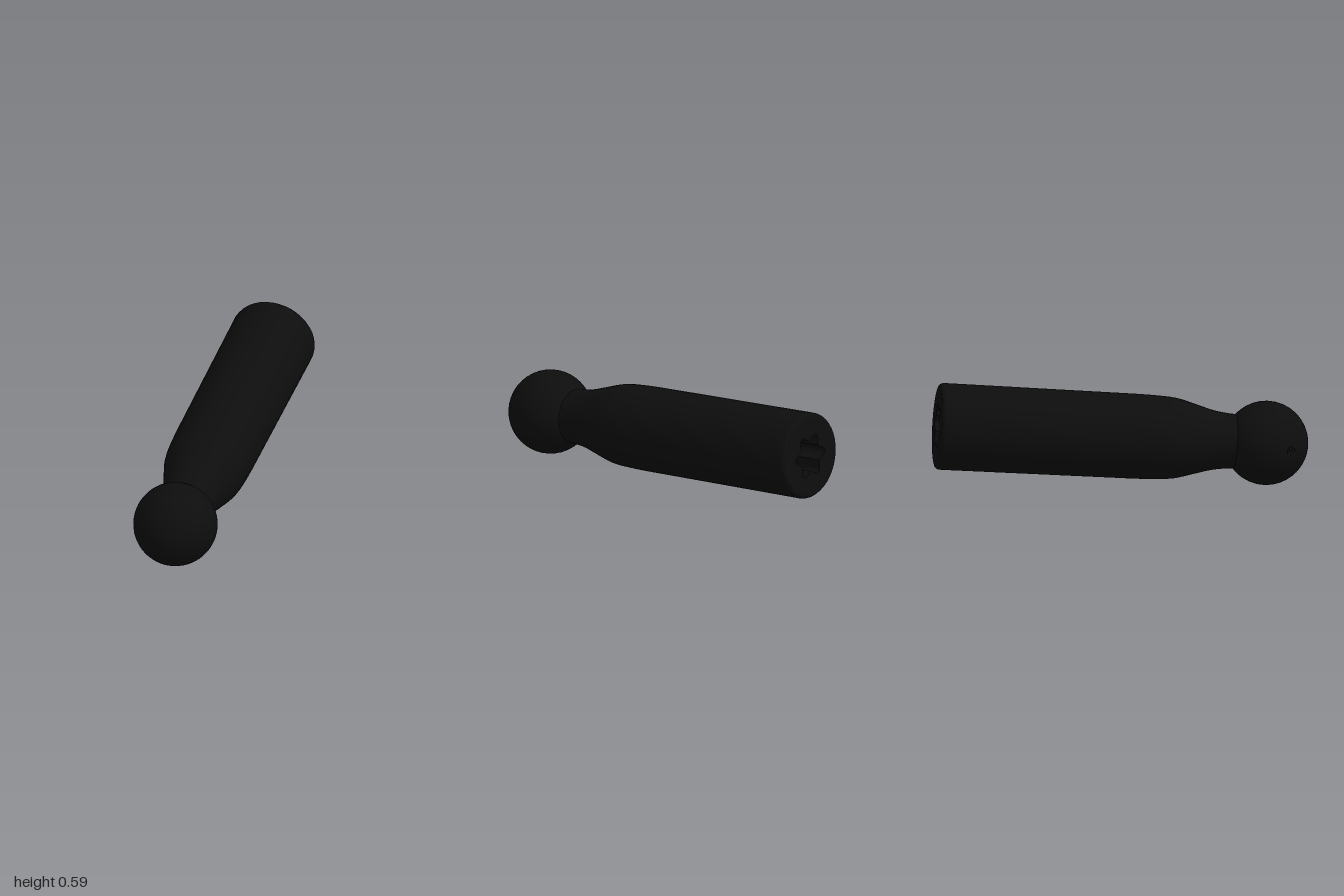
import * as THREE from 'three';

const V2 = (x, y) => new THREE.Vector2(x, y);

export function createModel() {
  const model = new THREE.Group();
  model.name = 'ballPin';
  const black = new THREE.MeshStandardMaterial({ color: 0x0d0d0d });
  black.name = 'black';

  const add = (parent, name, geometry) => {
    const mesh = new THREE.Mesh(geometry, black);
    mesh.name = name;
    parent.add(mesh);
    return mesh;
  };
  // Lathe turned so that its axis runs along local z
  const turn = (points, segments) => new THREE.LatheGeometry(points, segments).rotateX(Math.PI / 2);

  const ballCentre = new THREE.Vector3(0.19, 0.225, 0.775);
  const tailCentre = new THREE.Vector3(-0.185, 0.361, -0.95);
  const length = ballCentre.distanceTo(tailCentre);

  // Ball with a small pit at its pole
  const R = 0.225, pitR = 0.025;
  const ball = new THREE.Group();
  ball.name = 'ball';
  ball.position.copy(ballCentre);
  ball.lookAt(ballCentre.clone().add(new THREE.Vector3(-0.73, -0.02, 0.68)));
  model.add(ball);
  const pole = Math.asin(pitR / R);
  const arc = [];
  for (let i = 0; i <= 28; i++) {
    const a = Math.PI + (pole - Math.PI) * i / 28;
    arc.push(V2(Math.max(0, R * Math.sin(a)), R * Math.cos(a)));
  }
  add(ball, 'ballSurface', turn(arc, 40));
  const rimZ = R * Math.cos(pole);
  add(ball, 'pitWall', turn([V2(pitR, rimZ), V2(pitR, rimZ - 0.05)], 10));
  add(ball, 'pitFloor', new THREE.CircleGeometry(pitR, 10).translate(0, 0, rimZ - 0.05));

  // Shank: local z runs from the ball centre to the socket end
  const shank = new THREE.Group();
  shank.name = 'shank';
  shank.position.copy(ballCentre);
  shank.lookAt(tailCentre);
  model.add(shank);

  const neck = new THREE.SplineCurve([
    V2(0.146, 0.14), V2(0.147, 0.2), V2(0.16, 0.29), V2(0.188, 0.39),
    V2(0.215, 0.49), V2(0.224, 0.6), V2(0.227, 0.72),
  ]).getPoints(24);
  add(shank, 'body', turn([...neck, V2(0.232, length - 0.04), V2(0.232, length - 0.025),
    V2(0.229, length - 0.012), V2(0.222, length - 0.003), V2(0.212, length)], 40));

  // End plug with a six-lobed socket
  const depth = 0.2;
  const star = [];
  for (let i = 0; i < 72; i++) {
    const a = i / 72 * Math.PI * 2;
    const r = 0.103 + 0.02 * Math.cos(6 * a);
    star.push(V2(r * Math.cos(a), r * Math.sin(a)));
  }
  const face = new THREE.Shape().absarc(0, 0, 0.212, 0, Math.PI * 2, false);
  face.holes.push(new THREE.Path(star));
  add(shank, 'socketEnd', new THREE.ExtrudeGeometry(face,
    { depth, bevelEnabled: false, curveSegments: 40 }).translate(0, 0, length - depth));
  add(shank, 'socketFloor', new THREE.CircleGeometry(0.14, 32).translate(0, 0, length - depth + 0.002));

  return model;
}
